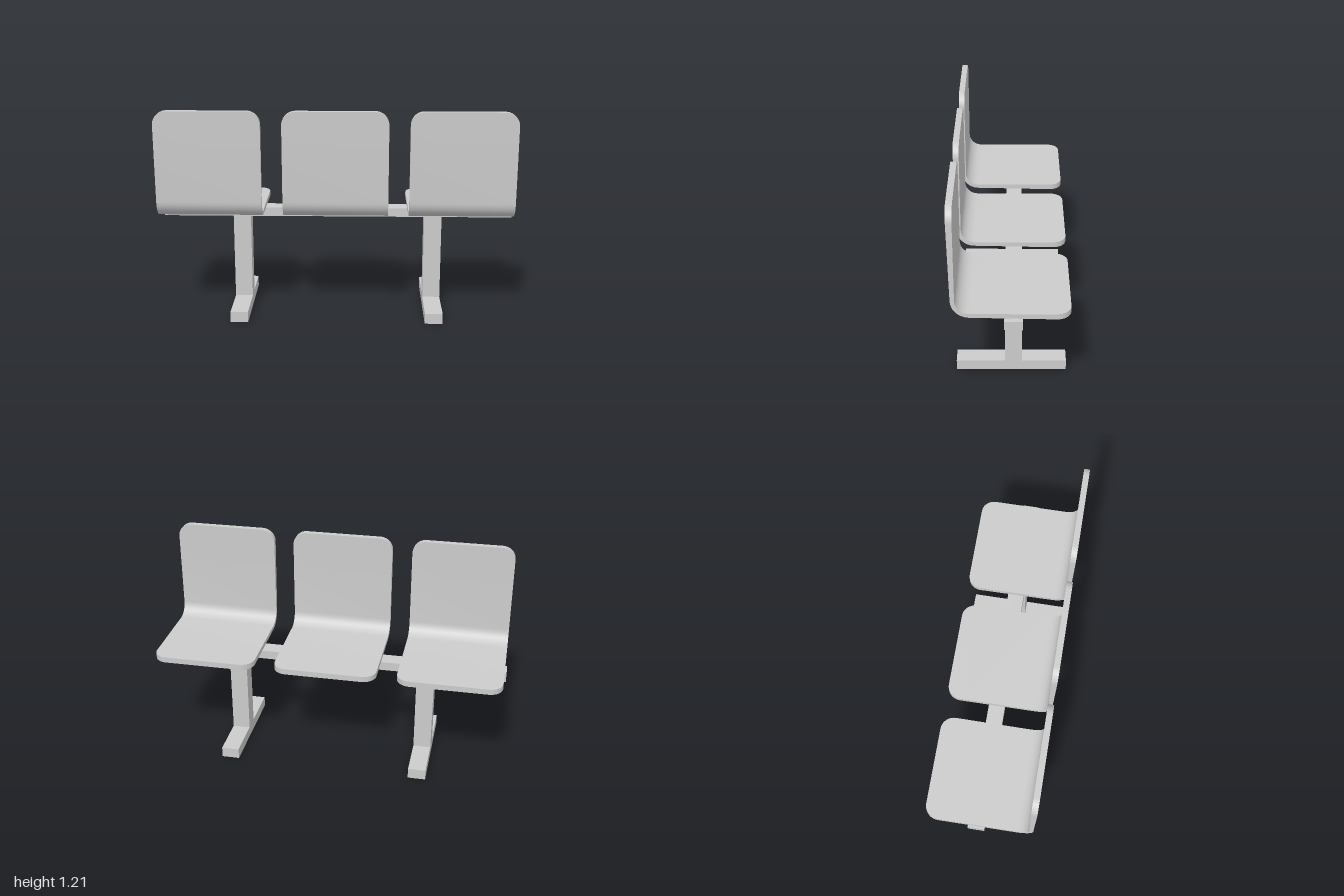
import * as THREE from 'three';
import { toCreasedNormals } from 'three/addons/utils/BufferGeometryUtils.js';

const material = new THREE.MeshStandardMaterial({ color: 0xcccccc });

// Stations along the shell: half width, inner [y, z] and outer [y, z]
function shellStations() {
  const half = 0.29, r = 0.075, n = 10, stations = [];
  const angle = (k) => (k / n) * Math.PI / 2;
  // rounded front edge of the seat
  for (let k = 0; k <= n; k++) {
    const a = angle(k), z = -0.305 + r * (1 - Math.cos(a));
    const t = (z + 0.305) / 0.505;
    stations.push([half - r + r * Math.sin(a), [0.632, z], [0.6 + 0.01 * t, z]]);
  }
  // bend from seat to back
  for (let k = 0; k <= n; k++) {
    const a = angle(k);
    const arc = (rad) => [0.707 - rad * Math.cos(a), 0.2 + rad * Math.sin(a)];
    stations.push([half, arc(0.075), arc(0.097)]);
  }
  // rounded top edge of the back
  for (let k = 0; k <= n; k++) {
    const a = angle(k), y = 1.212 - r + r * Math.sin(a);
    const t = (y - 0.707) / 0.505;
    stations.push([half - r + r * Math.cos(a), [y, 0.275], [y, 0.297 + 0.011 * t]]);
  }
  return stations;
}

// One-piece seat and back, lofted through four-cornered sections
function shellGeometry() {
  const stations = shellStations(), positions = [], index = [];
  for (const [w, inner, outer] of stations) {
    positions.push(-w, ...inner, w, ...inner, w, ...outer, -w, ...outer);
  }
  const last = (stations.length - 1) * 4;
  for (let i = 0; i < last; i += 4) {
    for (let j = 0; j < 4; j++) {
      const a = i + j, b = i + (j + 1) % 4;
      index.push(a, a + 4, b + 4, a, b + 4, b);
    }
  }
  index.push(0, 1, 2, 0, 2, 3);
  index.push(last, last + 2, last + 1, last, last + 3, last + 2);
  const geometry = new THREE.BufferGeometry();
  geometry.setAttribute('position', new THREE.Float32BufferAttribute(positions, 3));
  geometry.setIndex(index);
  return toCreasedNormals(geometry, 0.6);
}

function box(name, w, h, d, x, y, z) {
  const mesh = new THREE.Mesh(new THREE.BoxGeometry(w, h, d), material);
  mesh.name = name;
  mesh.position.set(x, y, z);
  return mesh;
}

export function createModel() {
  const model = new THREE.Group();
  model.name = 'benchSeating';

  // Row of three seats
  const shell = shellGeometry();
  ['rightSeat', 'middleSeat', 'leftSeat'].forEach((name, i) => {
    const seat = new THREE.Mesh(shell, material);
    seat.name = name;
    seat.position.x = -0.005 + (i - 1) * 0.695;
    model.add(seat);
  });

  // Beam under the seats
  model.add(box('beam', 2, 0.05, 0.092, 0, 0.575, -0.016));

  // Two legs, each a post on a long foot
  for (const [name, x] of [['rightLeg', -0.55], ['leftLeg', 0.55]]) {
    const leg = new THREE.Group();
    leg.name = name;
    leg.add(box('post', 0.1, 0.49, 0.092, x, 0.305, -0.016));
    leg.add(box('foot', 0.1, 0.06, 0.604, x, 0.03, -0.004));
    model.add(leg);
  }
  return model;
}
